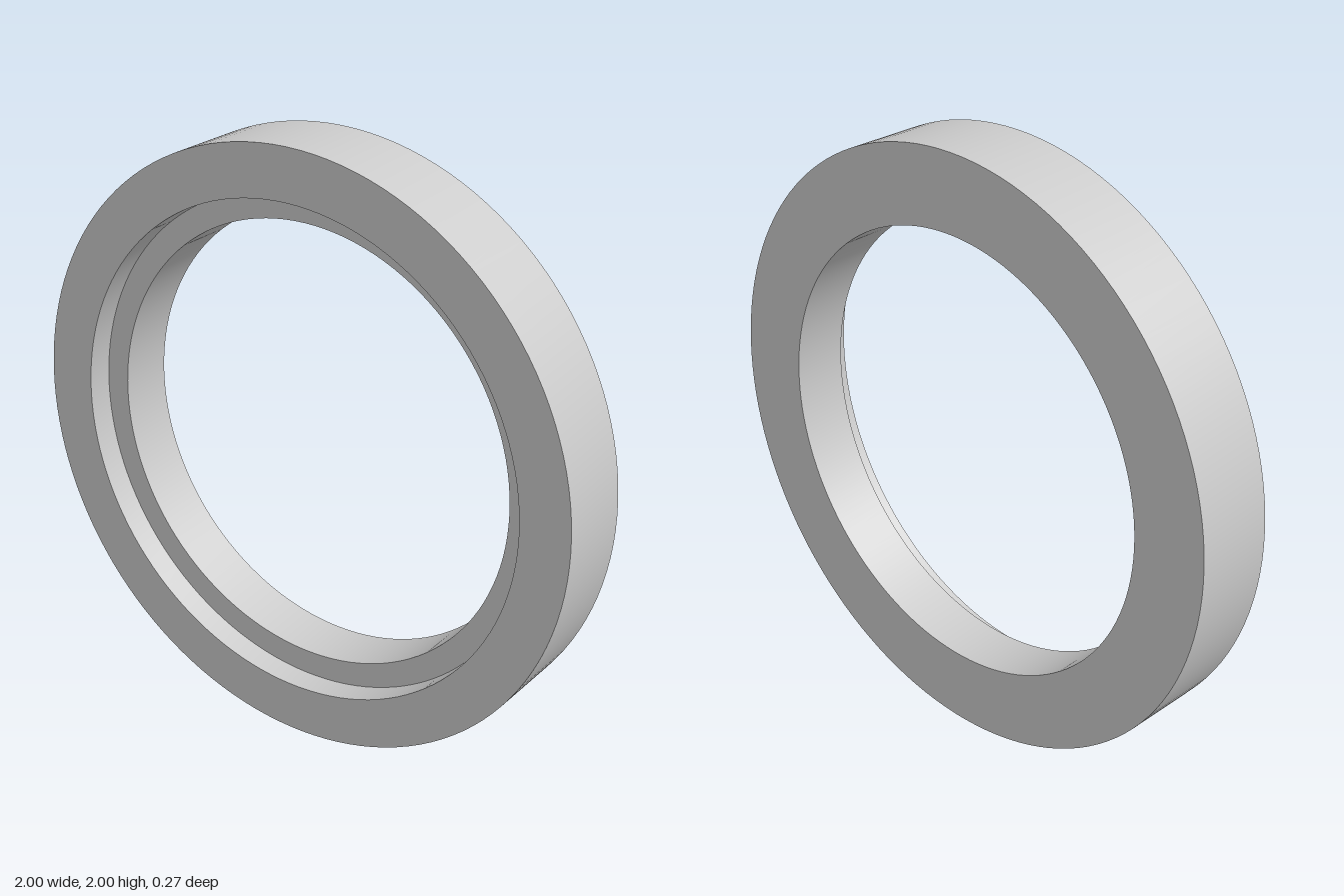
import * as THREE from 'three';
import { toCreasedNormals } from 'three/addons/utils/BufferGeometryUtils.js';

export function createModel() {
  const outer = 1, counterbore = 0.83, bore = 0.745;
  const half = 0.137, step = half - 0.088;

  // Closed ring section as (radius, depth), with a shallow recess at the front
  const section = [
    [outer, -half], [outer, half],
    [counterbore, half], [counterbore, step],
    [bore, step], [bore, -half],
    [outer, -half],
  ].map(([r, d]) => new THREE.Vector2(r, d));

  // Revolve, then turn the axis to face the front
  const geometry = toCreasedNormals(new THREE.LatheGeometry(section, 128), 0.6);
  geometry.rotateX(Math.PI / 2);

  const ring = new THREE.Mesh(geometry, new THREE.MeshStandardMaterial({ color: 0xcccccc }));
  ring.name = 'steppedRing';
  ring.position.y = outer;

  const model = new THREE.Group();
  model.name = 'ring';
  model.add(ring);
  return model;
}
